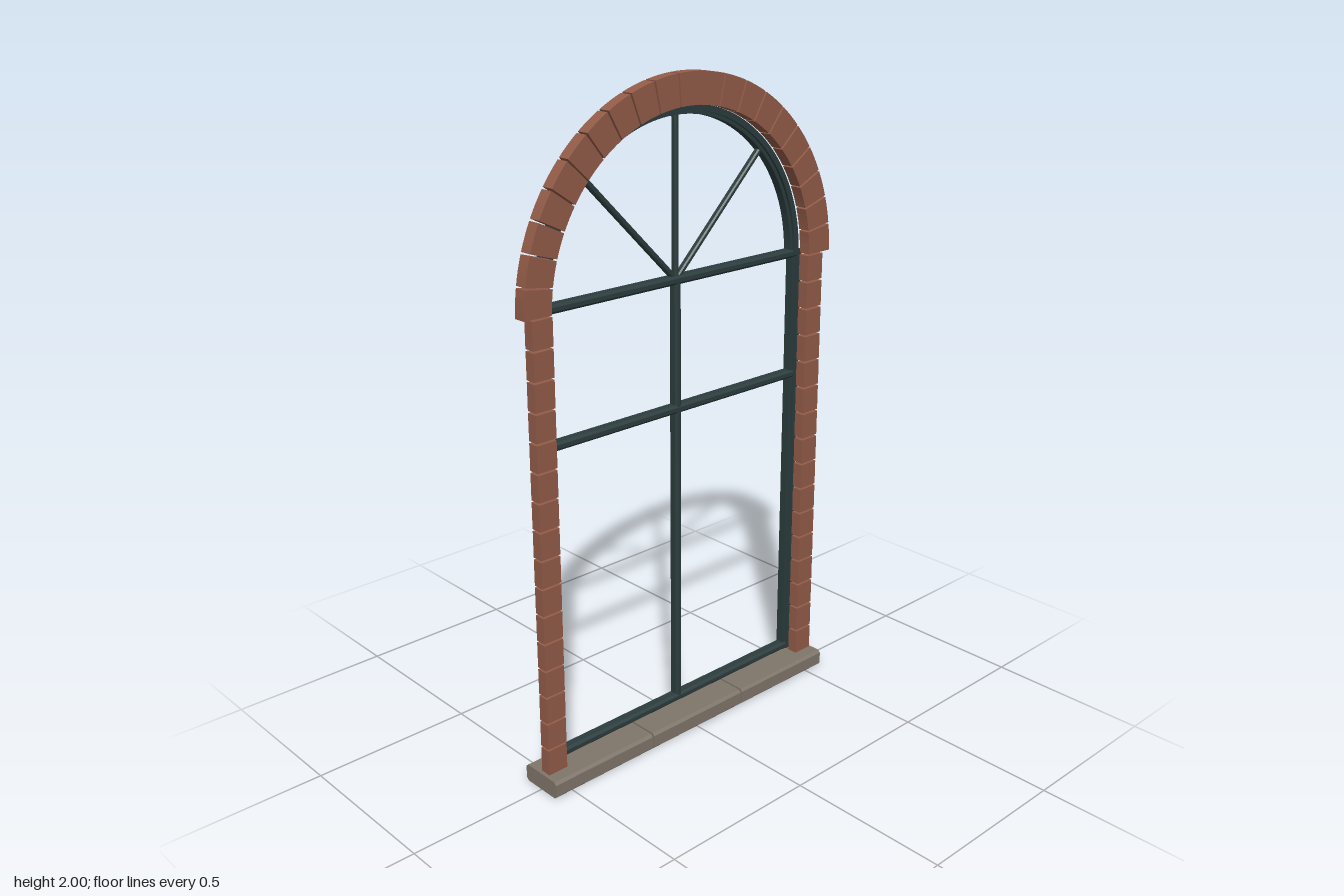
import * as THREE from 'three';

const brickMat = new THREE.MeshStandardMaterial({ color: 0x935c49 });
brickMat.name = 'red brick';
const frameMat = new THREE.MeshStandardMaterial({ color: 0x2c3c3d });
frameMat.name = 'dark green frame';
const stoneMat = new THREE.MeshStandardMaterial({ color: 0x80766a });
stoneMat.name = 'grey stone';

const SPRING = 1.42; // height of the arch centre

function add(group, name, geometry, material, x = 0, y = 0, z = 0) {
  const mesh = new THREE.Mesh(geometry, material);
  mesh.name = name;
  mesh.position.set(x, y, z);
  group.add(mesh);
  return mesh;
}

// Chamfered bar, w by d in section, centred, running along x
function barGeometry(length, w, d, c) {
  const a = w / 2, b = d / 2;
  const shape = new THREE.Shape([
    [-b + c, -a], [b - c, -a], [b, -a + c], [b, a - c],
    [b - c, a], [-b + c, a], [-b, a - c], [-b, -a + c],
  ].map(([x, y]) => new THREE.Vector2(x, y)));
  const g = new THREE.ExtrudeGeometry(shape, { depth: length, bevelEnabled: false });
  return g.translate(0, 0, -length / 2).rotateY(Math.PI / 2);
}

// Sector of a ring between two angles, from z0 to z1
function sectorGeometry(r0, r1, a0, a1, z0, z1, segments) {
  const shape = new THREE.Shape();
  shape.absarc(0, 0, r1, a0, a1, false);
  shape.absarc(0, 0, r0, a1, a0, true);
  const g = new THREE.ExtrudeGeometry(shape, { depth: z1 - z0, bevelEnabled: false, curveSegments: segments });
  return g.translate(0, 0, z0);
}

export function createModel() {
  const model = new THREE.Group();
  model.name = 'archedWindow';

  // Sill of three stones
  const sill = new THREE.Group();
  sill.name = 'sill';
  for (let i = -1; i <= 1; i++) {
    add(sill, 'sillStone', barGeometry(0.372, 0.054, 0.14, 0.008), stoneMat, i * 0.378, 0.027, 0);
  }
  model.add(sill);

  // Brick columns on both sides
  const columns = new THREE.Group();
  columns.name = 'brickColumns';
  const count = 16, pitch = (SPRING - 0.054) / count;
  const brick = new THREE.BoxGeometry(0.066, pitch - 0.006, 0.034);
  for (const s of [-1, 1]) {
    for (let i = 0; i < count; i++) {
      add(columns, 'columnBrick', brick, brickMat, s * 0.522, 0.054 + (i + 0.5) * pitch, 0.011);
    }
  }
  model.add(columns);

  // Arch of wedge bricks
  const arch = new THREE.Group();
  arch.name = 'brickArch';
  const n = 21, step = Math.PI / n;
  const wedge = sectorGeometry(0.492, 0.582, -step / 2 + 0.005, step / 2 - 0.005, -0.008, 0.03, 2);
  for (let i = 0; i < n; i++) {
    add(arch, 'archBrick', wedge, brickMat, 0, SPRING, 0).rotation.z = (i + 0.5) * step;
  }
  model.add(arch);

  // Outer frame: stepped jambs and curved head
  const frame = new THREE.Group();
  frame.name = 'windowFrame';
  const jambHeight = SPRING + 0.01 - 0.056;
  for (const s of [-1, 1]) {
    const y = 0.056 + jambHeight / 2;
    add(frame, 'jambOuter', new THREE.BoxGeometry(0.022, jambHeight, 0.036), frameMat, s * 0.498, y, -0.035);
    add(frame, 'jambInner', new THREE.BoxGeometry(0.014, jambHeight, 0.026), frameMat, s * 0.481, y, -0.034);
  }
  add(frame, 'headOuter', sectorGeometry(0.474, 0.492, 0, Math.PI, -0.055, -0.013, 40), frameMat, 0, SPRING);
  add(frame, 'headInner', sectorGeometry(0.463, 0.475, 0, Math.PI, -0.047, -0.021, 40), frameMat, 0, SPRING);
  model.add(frame);

  // Rails and mullion
  const bars = new THREE.Group();
  bars.name = 'glazingBars';
  for (const [name, y] of [['bottomRail', 0.069], ['middleRail', 1.033], ['transom', SPRING]]) {
    add(bars, name, barGeometry(0.975, 0.026, 0.036, 0.007), frameMat, 0, y, -0.034);
  }
  add(bars, 'mullion', barGeometry(SPRING - 0.07, 0.024, 0.034, 0.007), frameMat,
    0, (SPRING + 0.07) / 2, -0.034).rotation.z = Math.PI / 2;

  // Fan bars radiating in the arch
  for (const a of [Math.PI / 4, Math.PI / 2, Math.PI * 3 / 4]) {
    const bar = add(bars, 'fanBar', barGeometry(0.47, 0.016, 0.02, 0.004), frameMat,
      0.235 * Math.cos(a), SPRING + 0.235 * Math.sin(a), -0.034);
    bar.rotation.z = a;
  }
  model.add(bars);

  return model;
}
